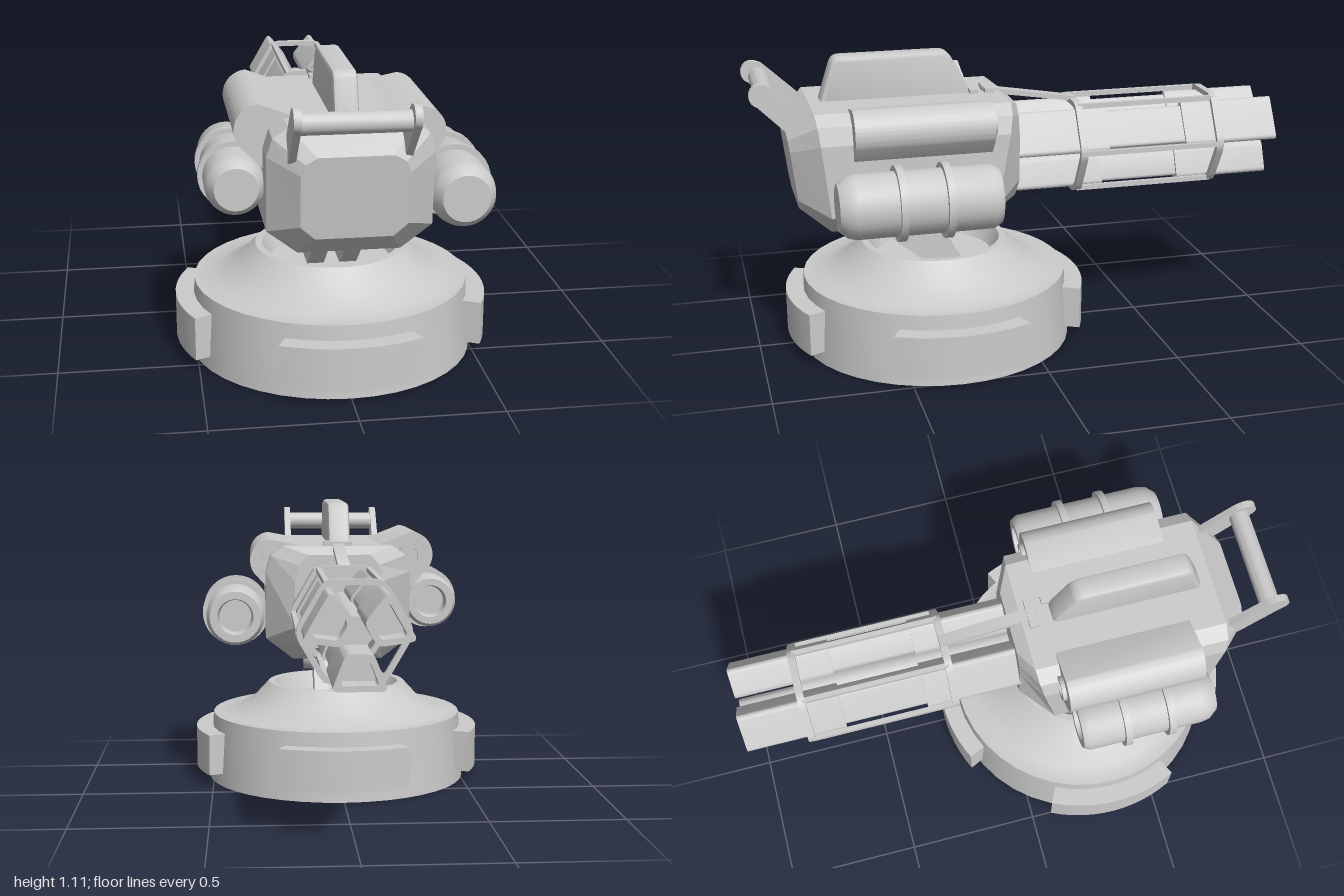
import * as THREE from 'three';
import { toCreasedNormals } from 'three/addons/utils/BufferGeometryUtils.js';

const smooth = new THREE.MeshStandardMaterial({ color: 0xcccccc, side: THREE.DoubleSide });
const flat = new THREE.MeshStandardMaterial({ color: 0xcccccc, flatShading: true });

function add(parent, name, geo, x = 0, y = 0, z = 0, mat = smooth) {
  const g = mat === smooth ? toCreasedNormals(geo, 0.6) : geo;
  const mesh = new THREE.Mesh(g, mat);
  mesh.name = name;
  mesh.position.set(x, y, z);
  parent.add(mesh);
  return mesh;
}

// Closed polygon with rounded corners
function roundPoly(pts, r, Kind = THREE.Shape) {
  const s = new Kind();
  const v = pts.map(p => new THREE.Vector2(...p));
  v.forEach((p, i) => {
    const toward = q => p.clone().add(q.clone().sub(p).setLength(r));
    const a = toward(v[(i + v.length - 1) % v.length]);
    const b = toward(v[(i + 1) % v.length]);
    if (i) s.lineTo(a.x, a.y); else s.moveTo(a.x, a.y);
    s.quadraticCurveTo(p.x, p.y, b.x, b.y);
  });
  s.closePath();
  return s;
}

// Extrusion along z between two depths
function prism(shape, zFront, zBack) {
  const g = new THREE.ExtrudeGeometry(shape, { depth: zFront - zBack, bevelEnabled: false, curveSegments: 6 });
  return g.translate(0, 0, zBack);
}

// Side profile (z, y) extruded along x, centred on x = 0
function sidePlate(shape, width, bevel = 0) {
  const g = new THREE.ExtrudeGeometry(shape, {
    depth: width - 2 * bevel, bevelEnabled: bevel > 0, bevelSize: bevel,
    bevelThickness: bevel, bevelOffset: -bevel, bevelSegments: 2, curveSegments: 8
  });
  return g.translate(0, 0, bevel - width / 2).rotateY(-Math.PI / 2);
}

// Capped skin over cross-sections running from front to back
function loft(sections) {
  const n = sections[0].length, pos = sections.flat(2), idx = [];
  for (let s = 0; s < sections.length - 1; s++) {
    for (let i = 0; i < n; i++) {
      const j = (i + 1) % n, a = s * n, b = a + n;
      idx.push(a + i, b + i, a + j, a + j, b + i, b + j);
    }
  }
  const last = (sections.length - 1) * n;
  for (let i = 1; i < n - 1; i++) idx.push(0, i, i + 1, last, last + i + 1, last + i);
  const g = new THREE.BufferGeometry();
  g.setAttribute('position', new THREE.Float32BufferAttribute(pos, 3));
  g.setIndex(idx);
  const out = g.toNonIndexed();
  out.computeVertexNormals();
  return out;
}

const lathe = (pts, seg = 32) => new THREE.LatheGeometry(pts.map(p => new THREE.Vector2(...p)), seg);

function buildBase(root) {
  const base = new THREE.Group();
  base.name = 'base';
  base.position.z = 0.32;
  root.add(base);
  // Hollow drum with sloping shoulder and a sunken dish
  add(base, 'drum', lathe([[0.49, 0], [0.517, 0], [0.5, 0.265], [0.43, 0.265], [0.335, 0.32],
    [0.275, 0.385], [0.25, 0.385], [0.22, 0.32], [0, 0.31]], 40));
  add(base, 'innerWall', lathe([[0.49, 0], [0.48, 0.25], [0.42, 0.25], [0.32, 0.3], [0, 0.3]], 40));
  // Four curved pads around the drum
  for (let k = 0; k < 4; k++) {
    const half = 0.45, s = new THREE.Shape();
    s.absarc(0, 0, 0.57, -half, half, false);
    s.absarc(0, 0, 0.49, half, -half, true);
    const pad = prism(s, 0.21, 0.05).rotateX(-Math.PI / 2).rotateY(k * Math.PI / 2);
    add(base, 'basePad', pad);
  }
}

function buildMount(root) {
  const strut = roundPoly([[0.53, 0.54], [0.36, 0.54], [0.36, 0.46], [0.22, 0.31], [0.36, 0.31], [0.52, 0.44]], 0.025);
  for (const x of [-0.06, 0.06]) add(root, 'mountStrut', sidePlate(strut, 0.06), x);
  add(root, 'pivotPin', new THREE.CylinderGeometry(0.035, 0.035, 0.26, 20).rotateZ(Math.PI / 2), 0, 0.47, 0.45);
  for (const x of [-0.11, 0.11]) {
    add(root, 'pivotCap', new THREE.CylinderGeometry(0.062, 0.062, 0.035, 20).rotateZ(Math.PI / 2), x, 0.475, 0.45);
  }
}

function buildBody(root) {
  // Right half of a section from bottom to top, mirrored to a full loop
  const loop = (half, zAt) => [...half, ...half.map(([x, y]) => [-x, y]).reverse()]
    .map(([x, y]) => [x + 0.005, y, zAt(y)]);
  const face = [[0.13, 0.585], [0.18, 0.63], [0.18, 0.81], [0.165, 0.85], [0.125, 0.873]];
  const full = [[0.175, 0.5], [0.282, 0.585], [0.282, 0.85], [0.262, 0.915], [0.21, 0.95]];
  const rear = [[0.1, 0.56], [0.17, 0.64], [0.17, 0.82], [0.155, 0.88], [0.12, 0.92]];
  add(root, 'body', loft([
    loop(face, y => 0.84 + (y - 0.585) * 0.12),
    loop(full, y => 0.73 + (y - 0.5) * 0.11),
    loop(full, y => 0.15 - (y - 0.5) * 0.18),
    loop(rear, () => 0.025)
  ]), 0, 0, 0, flat);

  // Top fin
  const fin = roundPoly([[0.75, 0.9], [0.73, 0.97], [0.685, 1.11], [0.26, 1.11], [0.18, 0.96], [0.17, 0.9]], 0.03);
  add(root, 'topFin', sidePlate(fin, 0.085, 0.015), -0.005);

  // Carrying handle
  const arm = roundPoly([[0.99, 1.0], [0.99, 1.06], [0.93, 1.06], [0.78, 0.92], [0.78, 0.84], [0.83, 0.84]], 0.02);
  const armEnd = new THREE.CylinderGeometry(0.042, 0.042, 0.025, 20).rotateZ(Math.PI / 2);
  for (const x of [-0.2, 0.18]) {
    add(root, 'handleArm', sidePlate(arm, 0.025), x);
    add(root, 'handleArmEnd', armEnd, x, 1.022, 0.958);
  }
  add(root, 'handleBar', new THREE.CylinderGeometry(0.036, 0.036, 0.37, 20).rotateZ(Math.PI / 2), -0.01, 1.005, 0.937);
}

// Shoulder pod: round outer edge that merges into the body
function buildPod(root, side, cx, cy, r) {
  const s = new THREE.Shape();
  s.moveTo(0.15, 0.76);
  s.lineTo(0.26, 0.76);
  s.absarc(cx, cy, r, -0.6, 1.5, false);
  s.lineTo(0.16, 0.95);
  s.closePath();
  const pod = new THREE.Group();
  pod.name = 'shoulderPod';
  root.add(pod);
  const g = new THREE.ExtrudeGeometry(s, { depth: 0.5, bevelEnabled: false, curveSegments: 14 });
  if (side < 0) g.rotateY(Math.PI).translate(0, 0, 0.655);
  else g.translate(0, 0, 0.155);
  add(pod, 'podShell', g);
  add(pod, 'podSocket', lathe([[0, 0.005], [0.03, 0.005], [0.03, -0.015], [0.045, -0.015], [0.045, 0.03]], 20)
    .rotateX(Math.PI / 2), side * cx, cy, 0.155);
}

// Side canister: domed front, recessed back and two bands
function buildCanister(root, x, y, r, zBack, zFront) {
  const can = new THREE.Group();
  can.name = 'canister';
  can.position.set(x, y, 0);
  root.add(can);
  add(can, 'tank', lathe([[0, zBack + 0.05], [r * 0.55, zBack + 0.05], [r * 0.62, zBack], [r * 0.88, zBack],
    [r, zBack + 0.025], [r, zFront - 0.06], [r * 0.94, zFront - 0.03], [r * 0.72, zFront], [0, zFront]])
    .rotateX(Math.PI / 2));
  for (const z of [0.355, 0.52]) {
    const o = r * 1.165;
    add(can, 'band', lathe([[r * 0.97, -0.013], [o, -0.013], [o, 0.013], [r * 0.97, 0.013]]).rotateX(Math.PI / 2), 0, 0, z);
  }
}

function buildBarrels(root) {
  const gun = new THREE.Group();
  gun.name = 'barrelCluster';
  gun.position.set(0.005, 0.725, 0);
  root.add(gun);
  const section = (k, Kind) => {
    const m = 0.1, out = 0.06 * k, inn = 0.06 * k;
    return roundPoly([[m - inn, -0.045 * k], [m + out, -0.092 * k], [m + out, 0.092 * k], [m - inn, 0.045 * k]], 0.024 * k, Kind);
  };
  const muzzle = section(1);
  muzzle.holes.push(section(0.68, THREE.Path));
  for (let k = 0; k < 3; k++) {
    const unit = new THREE.Group();
    unit.name = 'barrel';
    unit.rotation.z = Math.PI / 6 + k * Math.PI * 2 / 3;
    gun.add(unit);
    add(unit, 'rearSleeve', prism(section(1), 0.06, -0.325));
    add(unit, 'innerBarrel', prism(section(0.86), -0.3, -0.9));
    add(unit, 'muzzle', prism(muzzle, -0.63, -1));
  }
  add(gun, 'core', new THREE.CylinderGeometry(0.055, 0.055, 0.84, 12).rotateX(Math.PI / 2), 0, 0, -0.36);

  // Hexagonal clamps joined by rods
  const hex = r => Array.from({ length: 6 }, (_, i) => [r * Math.cos(i * Math.PI / 3), r * Math.sin(i * Math.PI / 3)]);
  const ring = roundPoly(hex(0.203), 0.04);
  ring.holes.push(roundPoly(hex(0.181), 0.035, THREE.Path));
  for (const z of [-0.208, -0.75]) add(gun, 'clamp', prism(ring, z, z - 0.027));
  for (const [x, y] of hex(0.185)) add(gun, 'clampRod', new THREE.BoxGeometry(0.018, 0.018, 0.54), x, y, -0.49);

  // Sloping stay from the body to the first clamp
  add(root, 'stayBracket', new THREE.BoxGeometry(0.11, 0.03, 0.035), 0.005, 0.95, 0.11);
  const stay = roundPoly([[0.13, 0.945], [0.13, 0.965], [-0.235, 0.905], [-0.235, 0.888]], 0.004);
  add(root, 'stay', sidePlate(stay, 0.045), 0.005);
  add(root, 'sightPost', new THREE.BoxGeometry(0.03, 0.06, 0.03), 0.045, 0.935, 0.17);
}

export function createModel() {
  const root = new THREE.Group();
  root.name = 'turret';
  buildBase(root);
  buildMount(root);
  buildBody(root);
  buildPod(root, -1, 0.282, 0.91, 0.09);
  buildPod(root, 1, 0.263, 0.888, 0.084);
  buildCanister(root, -0.37, 0.72, 0.103, 0.19, 0.7);
  buildCanister(root, 0.407, 0.665, 0.115, 0.165, 0.735);
  buildBarrels(root);
  return root;
}
